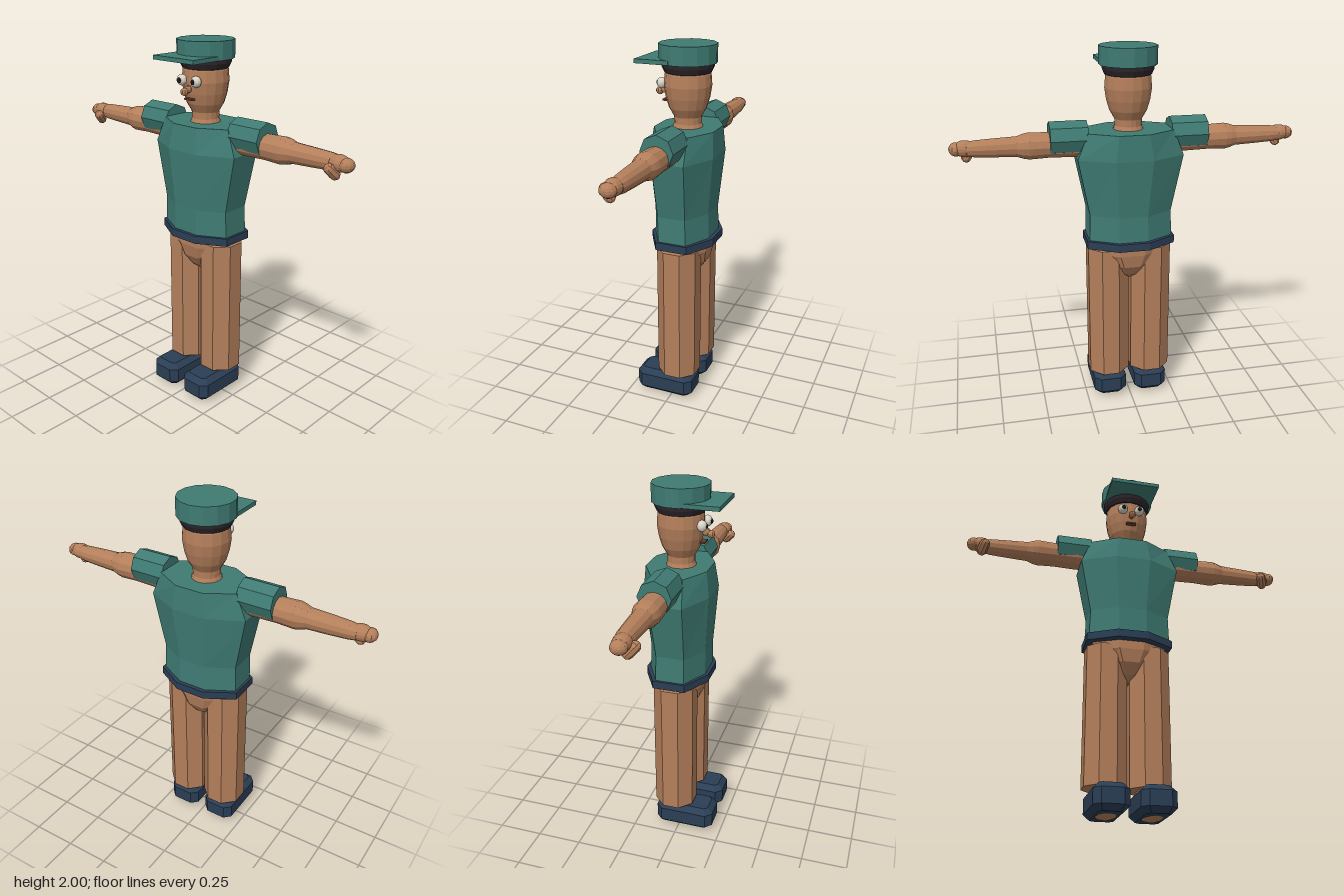
import * as THREE from 'three';

const mat = (name, color) => {
  const m = new THREE.MeshStandardMaterial({ color, flatShading: true });
  m.name = name;
  return m;
};

const AXIS_Z = -0.032; // the body's vertical axis sits slightly behind z = 0

// Closed eight-sided loft; each ring is [y, halfWidth, frontZ, backZ]
function loft(rings) {
  const pos = [], idx = [], n = 8;
  for (const [y, w, f, b] of rings) {
    const c = (f + b) / 2, d = (f - b) / 2;
    const corners = [[0.35, 1], [1, 0.5], [1, -0.5], [0.35, -1], [-0.35, -1], [-1, -0.5], [-1, 0.5], [-0.35, 1]];
    for (const [u, v] of corners) pos.push(u * w, y, c + v * d);
  }
  for (let r = 0; r < rings.length - 1; r++) {
    for (let i = 0; i < n; i++) {
      const a = r * n + i, b = r * n + (i + 1) % n;
      idx.push(a, b, b + n, a, b + n, a + n);
    }
  }
  const top = (rings.length - 1) * n;
  for (let i = 1; i < n - 1; i++) {
    idx.push(0, i + 1, i);
    idx.push(top, top + i, top + i + 1);
  }
  const g = new THREE.BufferGeometry();
  g.setAttribute('position', new THREE.Float32BufferAttribute(pos, 3));
  g.setIndex(idx);
  const flat = g.toNonIndexed();
  flat.computeVertexNormals();
  return flat;
}

const lathe = (points, sides) =>
  new THREE.LatheGeometry(points.map(([r, y]) => new THREE.Vector2(r, y)), sides);

// Box with all edges chamfered, centred on the origin
function chamferBox(w, h, d, c) {
  const x = w / 2 - c, z = d / 2 - c, k = c * 0.6;
  const s = new THREE.Shape([
    [-x + k, -z], [x - k, -z], [x, -z + k], [x, z - k],
    [x - k, z], [-x + k, z], [-x, z - k], [-x, -z + k],
  ].map(([a, b]) => new THREE.Vector2(a, b)));
  const g = new THREE.ExtrudeGeometry(s, {
    depth: h - 2 * c, bevelEnabled: true, bevelThickness: c, bevelSize: c, bevelSegments: 1,
  });
  g.translate(0, 0, c - h / 2);
  g.rotateX(-Math.PI / 2);
  return g;
}

export function createModel() {
  const model = new THREE.Group();
  model.name = 'cappedFigure';

  const skin = mat('skin', 0xb47f5b);
  const green = mat('green cloth', 0x3f7b73);
  const navy = mat('navy', 0x2b3e55);
  const hairDark = mat('dark hair', 0x2c262b);
  const white = mat('eye white', 0xd9d4c8);
  const black = mat('pupil', 0x17181a);
  const lip = mat('mouth', 0x6a3c2c);

  const add = (name, geometry, material, x = 0, y = 0, z = 0) => {
    const m = new THREE.Mesh(geometry, material);
    m.name = name;
    m.position.set(x, y, z);
    model.add(m);
    return m;
  };
  const ball = (name, material, p, s, segs = 12) => {
    const m = add(name, new THREE.SphereGeometry(1, segs, Math.ceil(segs * 0.7)), material, ...p);
    m.scale.set(...s);
    return m;
  };

  // Shirt, belt and hips
  add('shirt', loft([
    [0.985, 0.225, 0.125, -0.185],
    [1.13, 0.22, 0.125, -0.18],
    [1.44, 0.28, 0.145, -0.208],
    [1.575, 0.225, 0.127, -0.2],
  ]), green);
  add('belt', loft([[0.947, 0.238, 0.143, -0.206], [0.99, 0.238, 0.143, -0.206]]), navy);
  add('hips', loft([
    [0.735, 0.025, 0.0, -0.06],
    [0.77, 0.07, 0.045, -0.11],
    [0.83, 0.13, 0.085, -0.15],
    [0.9, 0.19, 0.1, -0.163],
    [0.96, 0.205, 0.1, -0.163],
  ]), skin);

  // Neck and head in one egg-shaped turn
  add('head', lathe([
    [0.085, 1.56], [0.072, 1.595], [0.073, 1.63], [0.099, 1.675], [0.115, 1.73],
    [0.124, 1.79], [0.119, 1.85], [0.1, 1.89], [0, 1.92],
  ], 16), skin, 0, 0, AXIS_Z);

  // Hair band and cap
  add('hair', lathe([[0.105, 1.852], [0.122, 1.857], [0.135, 1.885], [0.137, 1.91]], 16), hairDark, 0, 0, AXIS_Z);
  add('hairUnderside', new THREE.CylinderGeometry(0.106, 0.106, 0.006, 16), hairDark, 0, 1.855, AXIS_Z);
  add('capCrown', new THREE.CylinderGeometry(0.151, 0.151, 0.095, 14), green, 0, 1.9525, AXIS_Z);
  add('capBrim', new THREE.BoxGeometry(0.28, 0.022, 0.185), green, 0, 1.916, 0.1125);

  // Nose and mouth
  ball('noseBridge', skin, [0, 1.757, 0.1], [0.015, 0.02, 0.03], 8);
  ball('noseTip', skin, [0, 1.748, 0.125], [0.021, 0.02, 0.021], 10);
  add('mouth', new THREE.BoxGeometry(0.055, 0.009, 0.025), lip, 0, 1.706, 0.088);

  for (const s of [1, -1]) {
    const side = s > 0 ? 'left' : 'right';

    // Eyes
    ball(side + 'Eye', white, [s * 0.05, 1.8, 0.092], [0.029, 0.029, 0.026], 14);
    ball(side + 'Pupil', black, [s * 0.048, 1.8, 0.113], [0.013, 0.014, 0.009], 10);

    // Arm stretched sideways, turned around its own axis
    const arm = add(side + 'Arm', lathe([
      [0.066, 0.18], [0.07, 0.3], [0.067, 0.42], [0.071, 0.52], [0.065, 0.55],
      [0.054, 0.58], [0.049, 0.7], [0.044, 0.79], [0.038, 0.83], [0, 0.85],
    ], 12), skin, 0, 1.508, -0.035);
    arm.rotation.z = -s * Math.PI / 2;

    // Hand with thumb and knuckles
    ball(side + 'Palm', skin, [s * 0.84, 1.51, -0.028], [0.06, 0.042, 0.045]);
    ball(side + 'Fingers', skin, [s * 0.883, 1.508, -0.025], [0.037, 0.035, 0.042]);
    const thumb = add(side + 'Thumb', new THREE.CapsuleGeometry(0.027, 0.045, 3, 8), skin, s * 0.828, 1.475, 0.009);
    thumb.rotation.set(0.75, 0, s * 0.3);

    // Faceted short sleeve
    const sleeve = add(side + 'Sleeve', new THREE.CylinderGeometry(0.088, 0.088, 0.195, 8), green, s * 0.3175, 1.542, -0.036);
    sleeve.rotation.z = -s * Math.PI / 2;

    // Trouser leg, ankle, shoe and the sole showing under it
    const leg = new THREE.CylinderGeometry(0.12, 0.12, 0.765, 8);
    leg.rotateY(Math.PI / 8);
    add(side + 'Leg', leg, skin, s * 0.118, 0.5475, -0.03);
    add(side + 'Ankle', new THREE.CylinderGeometry(0.065, 0.065, 0.08, 10), skin, s * 0.118, 0.145, -0.03);
    add(side + 'Shoe', chamferBox(0.184, 0.14, 0.335, 0.03), navy, s * 0.118, 0.085, 0.0375);
    ball(side + 'Sole', skin, [s * 0.118, 0.04, 0.035], [0.07, 0.04, 0.11]);
  }

  return model;
}
